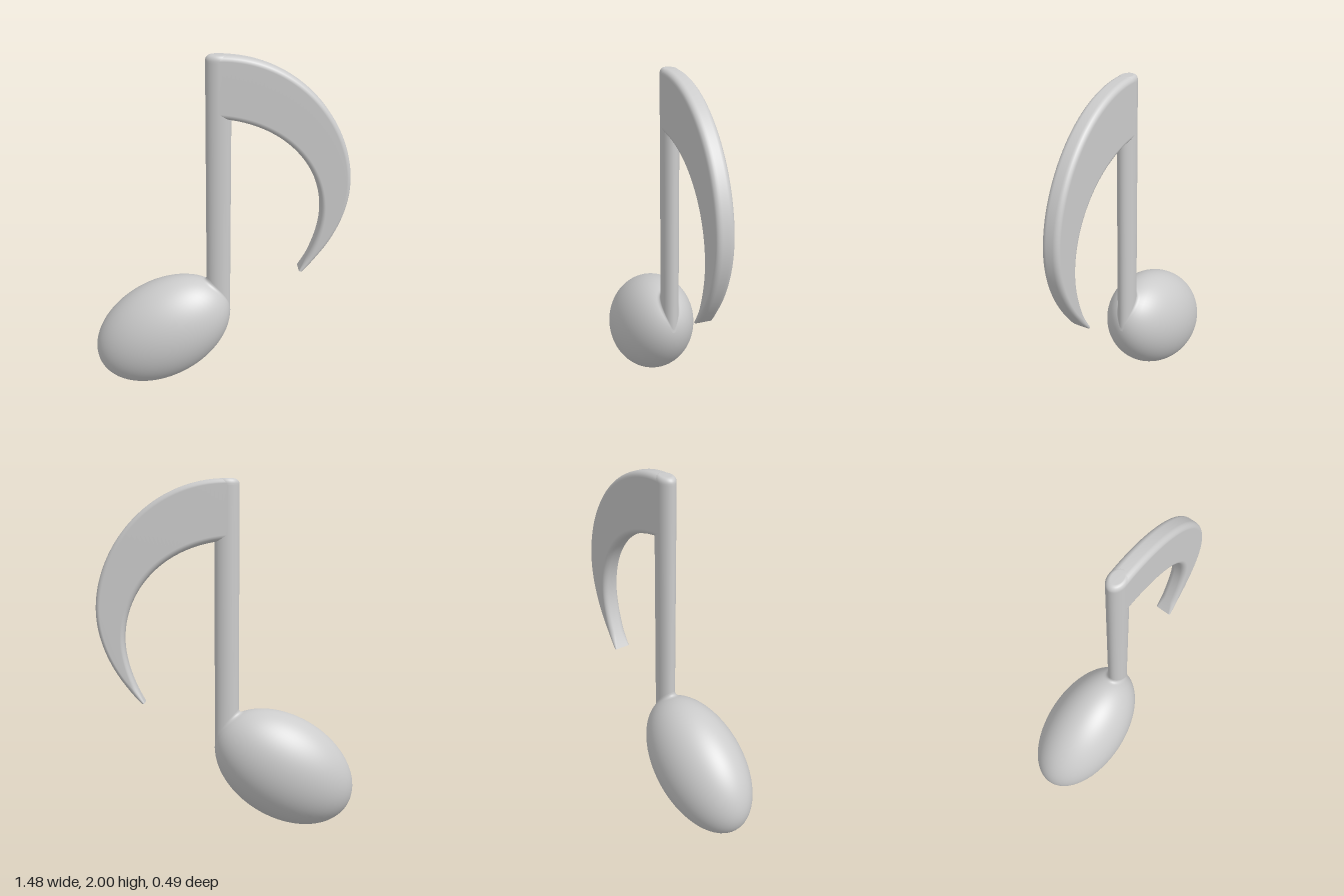
import * as THREE from 'three';

const material = new THREE.MeshStandardMaterial({ color: 0xcccccc, side: THREE.DoubleSide });

// Head ellipsoid: centre, half axes and tilt
const HEAD = { x: -0.335, y: 0.345, a: 0.44, b: 0.3, c: 0.245, tilt: 0.56 };
const STEM = { rx: 0.07, rz: 0.05, bottom: 0.46, top: 2, round: 0.03 };

function part(name, geometry) {
  const mesh = new THREE.Mesh(geometry, material);
  mesh.name = name;
  return mesh;
}

// Skin a list of closed rings that hold the same number of points
function loft(rings) {
  const n = rings[0].length;
  const index = [];
  for (let i = 0; i < rings.length - 1; i++) {
    for (let j = 0; j < n; j++) {
      const k = (j + 1) % n;
      const a = i * n + j, b = i * n + k, c = a + n, d = b + n;
      index.push(a, b, c, b, d, c);
    }
  }
  const geometry = new THREE.BufferGeometry().setFromPoints(rings.flat());
  geometry.setIndex(index);
  geometry.computeVertexNormals();
  return geometry;
}

// Height of the head's upper surface above a point (x, z)
function headHeight(x, z) {
  const { a, b, c, tilt } = HEAD;
  const cos = Math.cos(tilt), sin = Math.sin(tilt);
  const hx2 = a * a * cos * cos + b * b * sin * sin;
  const dx = x - HEAD.x;
  const slope = ((a * a - b * b) * sin * cos) / hx2;
  const rest = Math.max(0, 1 - (dx * dx) / hx2 - (z * z) / (c * c));
  return HEAD.y + slope * dx + ((a * b) / Math.sqrt(hx2)) * Math.sqrt(rest);
}

// Tilted oval head
function makeHead() {
  const head = part('noteHead', new THREE.SphereGeometry(1, 64, 40));
  head.scale.set(HEAD.a, HEAD.b, HEAD.c);
  head.rotation.z = HEAD.tilt;
  head.position.set(HEAD.x, HEAD.y, 0);
  return head;
}

// Oval stem with a rounded top rim
function makeStem() {
  const { rx, rz, bottom, top, round } = STEM;
  const profile = [new THREE.Vector2(rx, bottom), new THREE.Vector2(rx, top - round - 0.01)];
  for (let i = 0; i <= 6; i++) {
    const t = (i / 6) * Math.PI / 2;
    profile.push(new THREE.Vector2(rx - round + round * Math.cos(t), top - round + round * Math.sin(t)));
  }
  profile.push(new THREE.Vector2(0, top));
  const geometry = new THREE.LatheGeometry(profile, 40);
  geometry.scale(1, 1, rz / rx);
  return part('stem', geometry);
}

// Small fillet where the stem meets the head, fading out at the head's edge
function makeFillet() {
  const rings = [];
  for (let i = 0; i <= 6; i++) {
    const t = i / 6, ring = [];
    for (let j = 0; j < 40; j++) {
      const u = (j / 40) * Math.PI * 2;
      const size = 0.002 + 0.028 * (0.5 - 0.5 * Math.cos(u));
      const foot = (f) => {
        const x = (STEM.rx + f) * Math.cos(u), z = -(STEM.rz + f) * Math.sin(u);
        return new THREE.Vector3(x, headHeight(x, z), z);
      };
      const corner = foot(0);
      const upper = corner.clone().setY(corner.y + size);
      ring.push(new THREE.QuadraticBezierCurve3(foot(size), corner, upper).getPoint(t));
    }
    rings.push(ring);
  }
  return part('stemFillet', loft(rings));
}

// Path of joined cubic curves: start point, then three points per curve
function cubicPath(points) {
  const v = points.map(([x, y]) => new THREE.Vector2(x, y));
  const path = new THREE.CurvePath();
  for (let i = 0; i + 3 < v.length; i += 3) {
    path.add(new THREE.CubicBezierCurve(v[i], v[i + 1], v[i + 2], v[i + 3]));
  }
  return path;
}

// Tapering curved flag with a rounded rectangular section
function makeFlag() {
  const outer = cubicPath([[0, 2], [0.44, 2], [0.74, 1.62], [0.74, 1.27],
    [0.74, 1.08], [0.64, 0.88], [0.487, 0.735]]);
  const inner = cubicPath([[0, 1.66], [0.36, 1.63], [0.58, 1.38], [0.58, 1.1],
    [0.58, 0.98], [0.53, 0.85], [0.47, 0.738]]);
  const rings = [];
  const steps = 72, half = 0.05;
  for (let i = 0; i <= steps; i++) {
    const o = outer.getPointAt(i / steps), p = inner.getPointAt(i / steps);
    const centre = o.clone().add(p).multiplyScalar(0.5);
    const across = o.clone().sub(p);
    const w = across.length() / 2;
    across.normalize();
    const r = Math.min(0.03, w * 0.95);
    const ring = [];
    for (let q = 0; q < 4; q++) {
      const sn = q === 0 || q === 3 ? 1 : -1, sz = q < 2 ? 1 : -1;
      for (let k = 0; k <= 5; k++) {
        const t = (q + k / 5) * Math.PI / 2;
        const n = sn * (w - r) + r * Math.cos(t);
        const z = sz * (half - r) + r * Math.sin(t);
        ring.push(new THREE.Vector3(centre.x + across.x * n, centre.y + across.y * n, z));
      }
    }
    rings.push(ring);
  }
  // Close the tip with its own ring so its edge stays crisp
  const last = rings[steps];
  const middle = last.reduce((s, p) => s.add(p), new THREE.Vector3()).divideScalar(last.length);
  const flag = new THREE.Group();
  flag.name = 'flag';
  flag.add(part('flagBlade', loft(rings)));
  flag.add(part('flagTip', loft([last, last.map(() => middle.clone())])));
  return flag;
}

export function createModel() {
  const model = new THREE.Group();
  model.name = 'musicNote';
  model.add(makeHead(), makeStem(), makeFillet(), makeFlag());
  return model;
}
